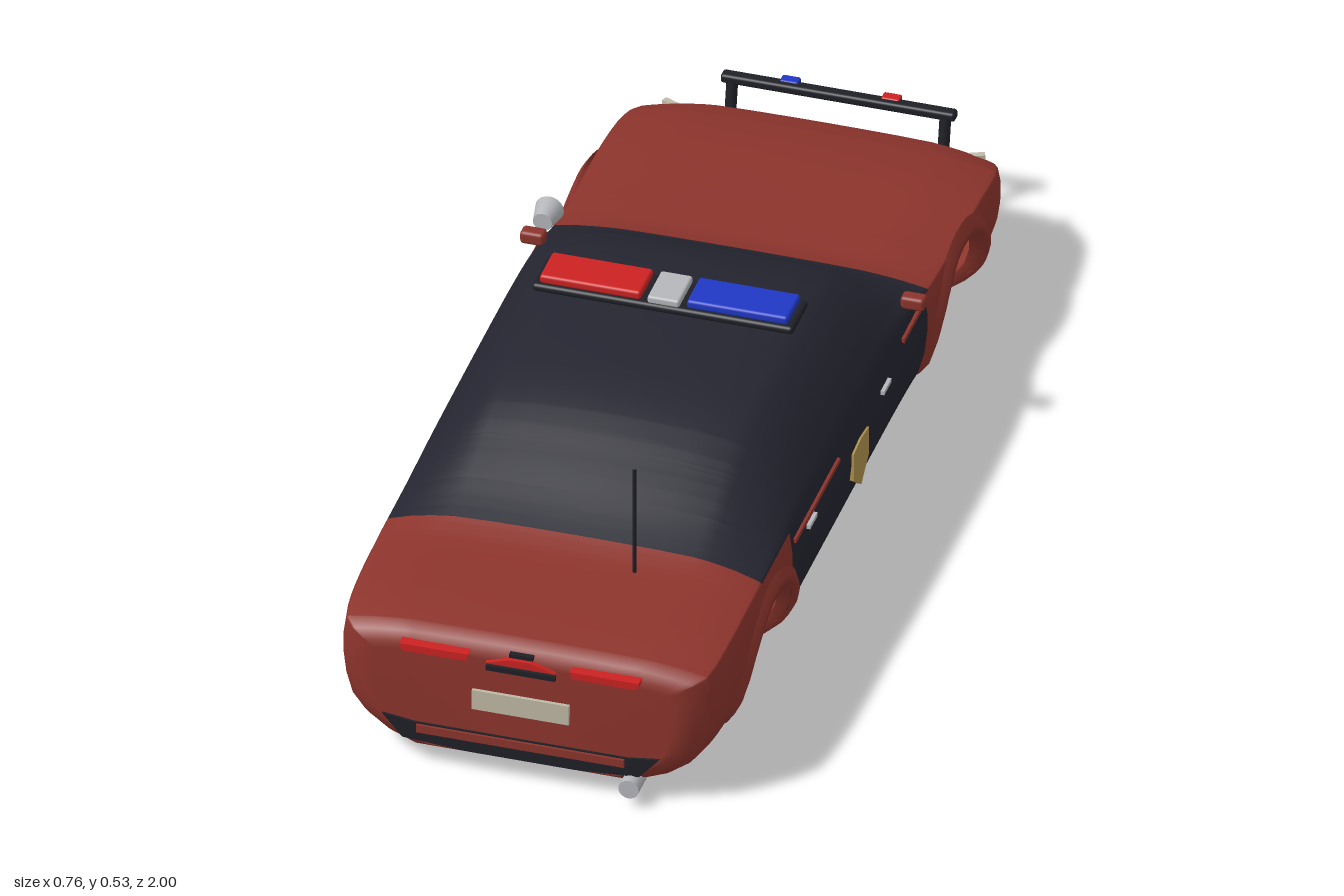
import * as THREE from 'three';
import { RoundedBoxGeometry } from 'three/addons/geometries/RoundedBoxGeometry.js';

const mat = (name, color, side = THREE.FrontSide) => {
  const m = new THREE.MeshStandardMaterial({ color, side });
  m.name = name;
  return m;
};

// Stations along the body: z, top height, belt height, half width, floor height
const STATIONS = [
  [0.975, 0.268, 0.252, 0.30, 0.05], [0.965, 0.283, 0.265, 0.325, 0.04], [0.94, 0.292, 0.272, 0.345, 0.03],
  [0.85, 0.302, 0.282, 0.355, 0.015], [0.7, 0.313, 0.288, 0.357, 0.005], [0.62, 0.337, 0.289, 0.357, 0.005],
  [0.5, 0.388, 0.29, 0.357, 0.005], [0.4, 0.427, 0.29, 0.357, 0.005], [0.3, 0.446, 0.29, 0.357, 0.005],
  [0.15, 0.455, 0.29, 0.357, 0.005], [0, 0.454, 0.29, 0.357, 0.005], [-0.1, 0.438, 0.29, 0.357, 0.005],
  [-0.2, 0.395, 0.288, 0.357, 0.005], [-0.3, 0.325, 0.278, 0.357, 0.005], [-0.38, 0.277, 0.258, 0.357, 0.005],
  [-0.5, 0.266, 0.249, 0.357, 0.005], [-0.7, 0.257, 0.24, 0.357, 0.005], [-0.82, 0.242, 0.22, 0.35, 0.02],
  [-0.88, 0.222, 0.195, 0.328, 0.04], [-0.905, 0.203, 0.178, 0.30, 0.06], [-0.918, 0.18, 0.165, 0.26, 0.08],
];
// Flank (width share, height share) from floor to belt, then belt to roof centre
const SIDE = [[0.62, 0], [0.77, 0.09], [0.885, 0.212], [0.95, 0.336], [0.985, 0.512], [1, 0.69], [1, 0.85], [0.985, 1]];
const ROOF = [[0.975, 0.1], [0.945, 0.2], [0.91, 0.31], [0.85, 0.5], [0.77, 0.67], [0.7, 0.8], [0.625, 0.89], [0.43, 0.96], [0.2, 0.99], [0, 1]];
const ARCHES = [0.605, -0.56], ARCH_R = 0.156, ARCH_Y = 0.076;

// Smooth interpolation of the stations
function station(z) {
  const S = STATIONS, n = S.length;
  let i = 0;
  while (i < n - 2 && z < S[i + 1][0]) i++;
  const h = S[i + 1][0] - S[i][0], t = (z - S[i][0]) / h;
  const slope = (k, c) => {
    const a = S[Math.max(k - 1, 0)], b = S[Math.min(k + 1, n - 1)];
    return (b[c] - a[c]) / (b[0] - a[0]);
  };
  return [1, 2, 3, 4].map((c) => {
    const t2 = t * t, t3 = t2 * t;
    return (2 * t3 - 3 * t2 + 1) * S[i][c] + (t3 - 2 * t2 + t) * h * slope(i, c)
      + (3 * t2 - 2 * t3) * S[i + 1][c] + (t3 - t2) * h * slope(i + 1, c);
  });
}

// Half width of the flank at a given height
function sideX(z, y) {
  const [, B, W, F] = station(z);
  const f = THREE.MathUtils.clamp((y - F) / (B - F), 0, 1);
  let i = 0;
  while (i < SIDE.length - 2 && f > SIDE[i + 1][1]) i++;
  const [a, b] = [SIDE[i], SIDE[i + 1]];
  return W * (a[0] + (b[0] - a[0]) * (f - a[1]) / (b[1] - a[1]));
}

function archHeight(z) {
  for (const c of ARCHES) {
    const d = Math.abs(z - c);
    if (d <= ARCH_R) return ARCH_Y + Math.sqrt(ARCH_R * ARCH_R - d * d);
  }
  return -1;
}

// One cross-section, from the left sill over the roof to the right sill
function ring(z) {
  const [T, B, W, F] = station(z), arch = archHeight(z);
  const half = SIDE.map(([, f]) => {
    const y = Math.max(F + f * (B - F), arch);
    return [sideX(z, y), y];
  }).concat(ROOF.map(([x, f]) => [x * W, B + f * (T - B)]));
  const mirrored = half.slice(0, -1).reverse().map(([x, y]) => [-x, y]);
  return half.concat(mirrored).map(([x, y]) => [x, y, z]);
}

// Grid of points to geometry; pick(i, j) chooses the material of a cell
function loft(rows, pick = () => 0) {
  const n = rows[0].length, lists = [[], []];
  for (let i = 0; i < rows.length - 1; i++) for (let j = 0; j < n - 1; j++) {
    const a = i * n + j, b = a + n;
    lists[pick(i, j)].push(a, b, a + 1, b, b + 1, a + 1);
  }
  const g = new THREE.BufferGeometry();
  g.setAttribute('position', new THREE.Float32BufferAttribute(rows.flat(2), 3));
  g.setIndex(lists[0].concat(lists[1]));
  g.addGroup(0, lists[0].length, 0);
  if (lists[1].length) g.addGroup(lists[0].length, lists[1].length, 1);
  g.computeVertexNormals();
  return g;
}

export function createModel() {
  const car = new THREE.Group();
  car.name = 'patrolCar';
  const red = mat('body red', 0x8c342c, THREE.DoubleSide), dark = mat('dark blue', 0x242530, THREE.DoubleSide);
  const black = mat('black trim', 0x1e2027), lampRed = mat('lamp red', 0xcc2222), lampBlue = mat('lamp blue', 0x2038c4);
  const silver = mat('silver', 0xb4b6ba), cream = mat('plate cream', 0xbfb9a5), gold = mat('badge gold', 0xb0924e);

  const add = (name, geo, m, x = 0, y = 0, z = 0, parent = car) => {
    const o = new THREE.Mesh(geo, m);
    o.name = name;
    o.position.set(x, y, z);
    parent.add(o);
    return o;
  };
  const box = (name, m, w, h, d, x, y, z) => add(name, new THREE.BoxGeometry(w, h, d), m, x, y, z);
  const rbox = (name, m, w, h, d, x, y, z, r) => add(name, new RoundedBoxGeometry(w, h, d, 3, r), m, x, y, z);
  const plate = (name, m, pts, depth, x, y, z) => add(name, new THREE.ExtrudeGeometry(
    new THREE.Shape(pts.map((p) => new THREE.Vector2(...p))), { depth, bevelEnabled: false }), m, x, y, z);
  const rod = (name, m, a, b, r) => add(name, new THREE.TubeGeometry(
    new THREE.LineCurve3(new THREE.Vector3(...a), new THREE.Vector3(...b)), 1, r, 8), m);

  // Body shell with open wheel arches
  let zs = STATIONS.map((s) => s[0]).concat([0.65, 0.48, -0.35, -0.375]);
  for (let i = 1; i < 60; i++) zs.push(0.975 - 1.893 * i / 60);
  for (const c of ARCHES) {
    for (let i = 0; i <= 24; i++) zs.push(c - (ARCH_R - 1e-6) * Math.cos(Math.PI * i / 24));
    zs.push(c - ARCH_R - 1e-4, c + ARCH_R + 1e-4);
  }
  zs = [...new Set(zs)].sort((a, b) => b - a);
  const rows = zs.map(ring);
  const cap = (src, z, s) => src.map(([x, y]) => [x * s, src[0][1] + (y - src[0][1]) * s, z]);
  const tail = rows[0], nose = rows[rows.length - 1];
  const all = [cap(tail, 0.978, 0), cap(tail, 0.977, 0.94), ...rows, cap(nose, -0.92, 0.9), cap(nose, -0.922, 0)];
  const last = tail.length - 2;
  const isDark = (i, j) => {
    const z = (all[i][0][2] + all[i + 1][0][2]) / 2, k = Math.min(j, last - j);
    if (k >= SIDE.length - 1) return z < 0.65 && z > -0.375 ? 1 : 0;
    return k >= 2 && z < 0.48 && z > -0.35 ? 1 : 0;
  };
  add('bodyShell', loft(all, isDark), [red, dark]);
  add('floor', loft(zs.map((z) => {
    const [, , W, F] = station(z);
    return [[-0.62 * W, F, z], [0.62 * W, F, z]];
  })), red);
  box('engineBayLiner', dark, 0.56, 0.004, 0.36, 0, 0.238, -0.56);

  // Wheel arch lips
  for (const s of [1, -1]) for (const c of ARCHES) {
    const lip = [[0.192, -0.002], [0.174, 0.01], [0.158, 0.009], [0.154, -0.025]].map(([r, off]) => {
      const line = [];
      for (let i = 0; i <= 32; i++) {
        const t = -0.42 + (Math.PI + 0.84) * i / 32;
        const z = c + r * Math.cos(t), y = Math.max(0.006, ARCH_Y + r * Math.sin(t));
        line.push([s * (sideX(z, y) + off), y, z]);
      }
      return line;
    });
    add('archLip', loft(lip), red);
  }

  // Side fittings, mirrored
  for (const s of [1, -1]) {
    const side = s > 0 ? 'left' : 'right';
    for (const [z, y] of [[0.37, 0.246], [-0.085, 0.24]]) box(side + 'DoorHandle', silver, 0.012, 0.008, 0.045, s * 0.358, y, z);
    for (const [z, len] of [[0.33, 0.27], [-0.27, 0.14]]) box(side + 'WaistStripe', red, 0.008, 0.009, len, s * 0.356, 0.263, z);
    const badge = plate(side + 'DoorBadge', gold, [[-0.047, 0.222], [-0.047, 0.165], [0, 0.128], [0.047, 0.165], [0.047, 0.222], [0, 0.228]], 0.008, s * 0.353, 0, 0.068);
    badge.rotation.y = s * Math.PI / 2;
    rbox(side + 'Mirror', red, 0.045, 0.026, 0.028, s * 0.357, 0.305, -0.268, 0.007);
    // Tail lamp and headlamp
    plate(side + 'TailLamp', lampRed, [[0.095, 0.27], [0.1, 0.256], [0.215, 0.255], [0.225, 0.262], [0.225, 0.27]].map(([x, y]) => [s * x, y]), 0.028, 0, 0, 0.965);
    const head = box(side + 'Headlamp', cream, 0.085, 0.008, 0.012, s * 0.262, 0.205, -0.872);
    head.rotation.y = s * 0.4;
  }

  // Rear panel
  plate('rearBumperInset', black, [[-0.26, 0.104], [-0.222, 0.06], [-0.1, 0.052], [0.1, 0.052], [0.222, 0.06], [0.26, 0.104], [0.2, 0.096], [-0.2, 0.096]], 0.012, 0, 0, 0.97);
  box('rearBumperRidge', red, 0.39, 0.016, 0.016, 0, 0.086, 0.979);
  box('rearPlate', cream, 0.182, 0.041, 0.008, 0, 0.168, 0.98);
  plate('rearTrimRed', lampRed, [[-0.065, 0.254], [0.065, 0.254], [0.02, 0.268], [-0.02, 0.268]], 0.01, 0, 0, 0.975);
  box('rearTrimDark', black, 0.13, 0.01, 0.01, 0, 0.242, 0.979);
  box('trunkHandle', black, 0.045, 0.008, 0.01, 0, 0.274, 0.975);
  const pipe = add('exhaust', new THREE.CylinderGeometry(0.019, 0.019, 0.12, 20), silver, 0.208, 0.042, 0.94);
  pipe.rotation.x = Math.PI / 2;

  // Nose panel and push bar
  box('noseInset', black, 0.38, 0.03, 0.012, 0, 0.1, -0.917);
  box('frontPlate', cream, 0.18, 0.04, 0.008, 0, 0.128, -0.927);
  rbox('pushBarTop', black, 0.44, 0.018, 0.024, 0, 0.217, -0.978, 0.006);
  rbox('pushBarLower', black, 0.4, 0.014, 0.018, 0, 0.115, -0.96, 0.005);
  for (const s of [1, -1]) {
    rod('pushBarPost', black, [s * 0.2, 0.22, -0.978], [s * 0.2, 0.07, -0.948], 0.011);
    rod('pushBarFoot', black, [s * 0.2, 0.08, -0.95], [s * 0.18, 0.095, -0.87], 0.01);
    rod('pushBarBracket', black, [s * 0.16, 0.115, -0.96], [s * 0.16, 0.13, -0.89], 0.009);
    rbox('pushBarLamp', s > 0 ? lampRed : lampBlue, 0.035, 0.012, 0.022, s * 0.095, 0.222, -0.989, 0.004);
  }

  // Roof light bar
  rbox('lightBarBase', black, 0.49, 0.016, 0.098, 0, 0.462, 0.062, 0.007);
  rbox('lightBarRed', lampRed, 0.19, 0.018, 0.082, -0.138, 0.477, 0.062, 0.006);
  rbox('lightBarBlue', lampBlue, 0.19, 0.018, 0.082, 0.138, 0.477, 0.062, 0.006);
  rbox('lightBarCentre', silver, 0.06, 0.016, 0.088, 0, 0.475, 0.062, 0.005);

  // Aerial and spotlight
  rod('aerial', black, [0.131, 0.3, 0.71], [0.131, 0.535, 0.71], 0.0035);
  const spot = add('spotlight', new THREE.CylinderGeometry(0.027, 0.018, 0.045, 20), silver, -0.35, 0.315, -0.322);
  spot.rotation.x = -Math.PI / 2;
  return car;
}
